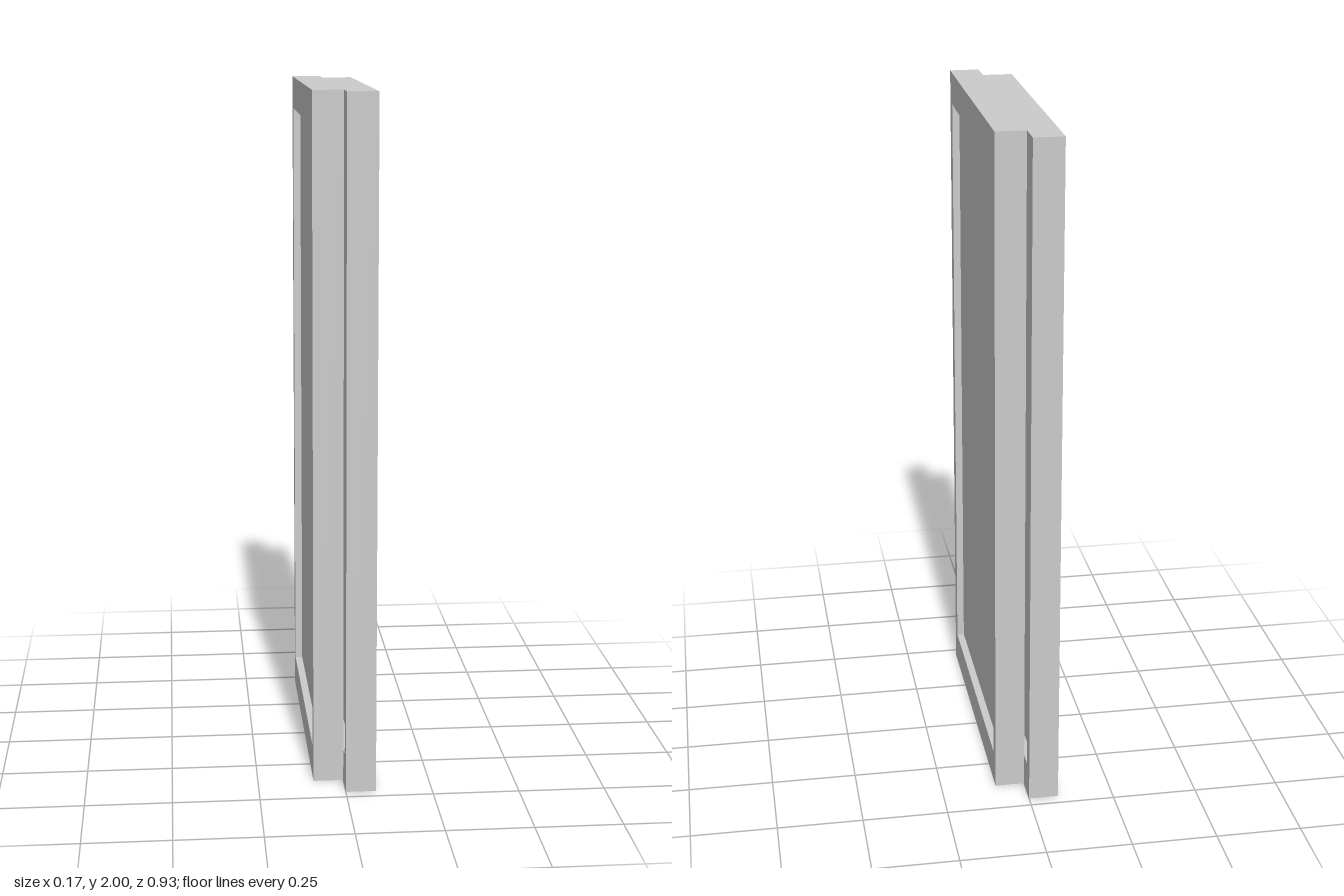
import * as THREE from 'three';

const HEIGHT = 2, WIDTH = 0.843, DEPTH = 0.0875; // one sash
const STILE = 0.039, RAIL = 0.097;               // frame borders
const OFFSET = 0.0435;                           // slide of each sash along z

const material = new THREE.MeshStandardMaterial({ color: 0xcccccc });

// Rectangle path centred on x, from y0 to y1
function rect(path, halfWidth, y0, y1) {
  path.moveTo(-halfWidth, y0);
  path.lineTo(halfWidth, y0);
  path.lineTo(halfWidth, y1);
  path.lineTo(-halfWidth, y1);
  path.closePath();
  return path;
}

// A framed sash with a thinner pane set in its middle
function makeSash(name) {
  const sash = new THREE.Group();
  sash.name = name;

  const outline = rect(new THREE.Shape(), WIDTH / 2, 0, HEIGHT);
  outline.holes.push(rect(new THREE.Path(), WIDTH / 2 - STILE, RAIL, HEIGHT - RAIL));
  const frameGeometry = new THREE.ExtrudeGeometry(outline, { depth: DEPTH, bevelEnabled: false });
  frameGeometry.translate(0, 0, -DEPTH / 2);
  frameGeometry.rotateY(-Math.PI / 2);
  const frame = new THREE.Mesh(frameGeometry, material);
  frame.name = 'frame';

  const pane = new THREE.Mesh(
    new THREE.BoxGeometry(DEPTH / 2, HEIGHT - 2 * RAIL, WIDTH - 2 * STILE), material);
  pane.name = 'pane';
  pane.position.y = HEIGHT / 2;

  sash.add(frame, pane);
  return sash;
}

export function createModel() {
  const group = new THREE.Group();
  group.name = 'slidingPanels';
  // Two sashes side by side, slid apart in opposite directions
  for (const side of [1, -1]) {
    const sash = makeSash(side > 0 ? 'leftSash' : 'rightSash');
    sash.position.set(side * DEPTH / 2, 0, side * OFFSET);
    group.add(sash);
  }
  return group;
}
